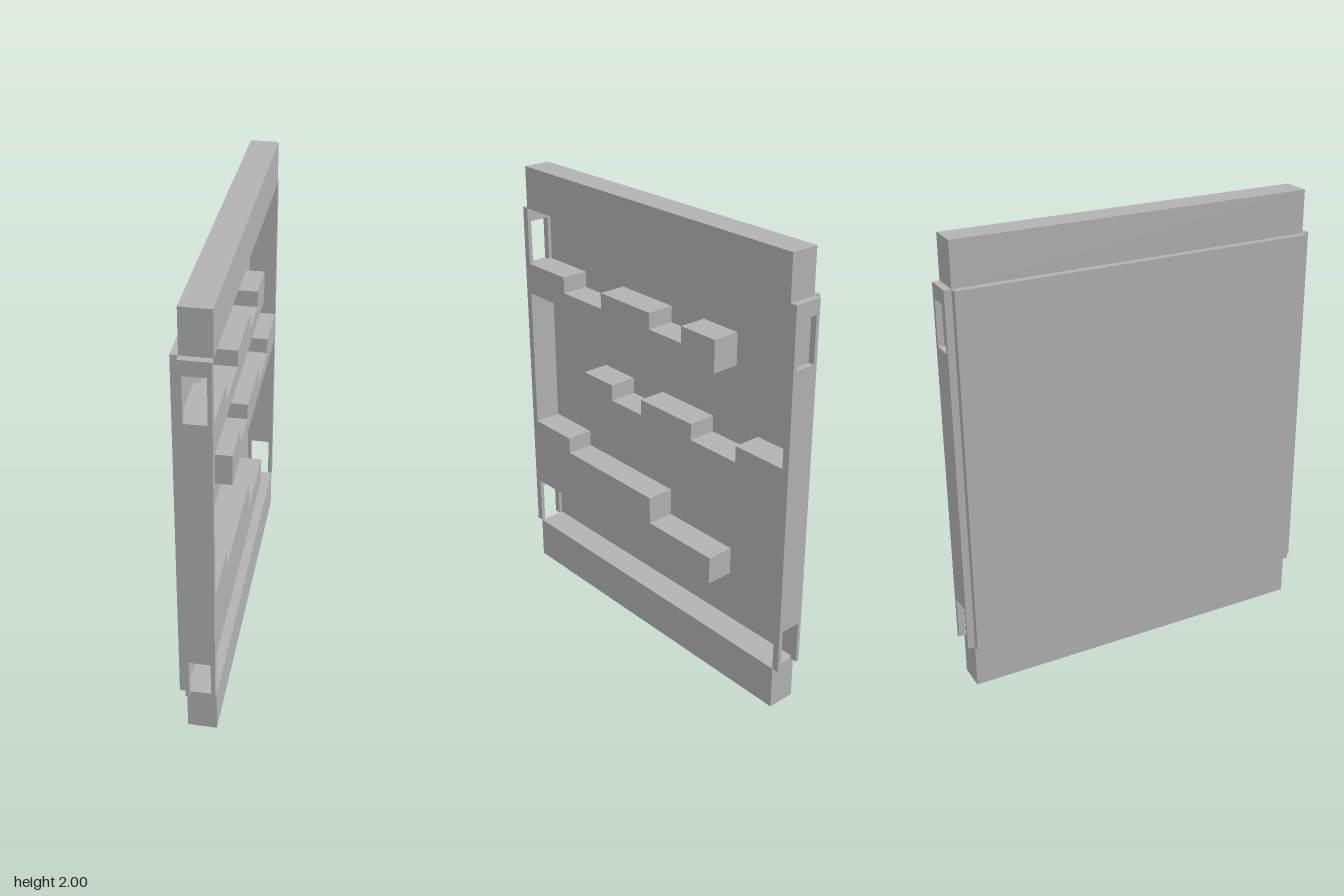
import * as THREE from 'three';

const X0 = -0.047, X1 = 0.078; // depth range of the frame
const W = 0.808;               // half width of the frame
const RIM = 0.031;             // thickness of the outer plates
const Y0 = 0.197, Y1 = 1.81;   // opening between bottom and top beams

export function createModel() {
  const group = new THREE.Group();
  const grey = new THREE.MeshStandardMaterial({ color: 0xb2b2b2 });
  grey.name = 'plainGrey';

  function add(name, geometry) {
    const mesh = new THREE.Mesh(geometry, grey);
    mesh.name = name;
    group.add(mesh);
  }

  function box(name, x0, x1, y0, y1, z0, z1) {
    const g = new THREE.BoxGeometry(x1 - x0, y1 - y0, z1 - z0);
    g.translate((x0 + x1) / 2, (y0 + y1) / 2, (z0 + z1) / 2);
    add(name, g);
  }

  const polygon = (points) => points.map(([a, b]) => new THREE.Vector2(a, b));

  // Beams and back panel
  box('bottomBeam', X0, X1, 0, Y0, -W, W);
  box('topBeam', X0, X1, Y1, 2, -W, W);
  box('backPanel', X0 - RIM, X0, Y0, Y1, -W, W);

  // Side plates: an open notch at the bottom and a window near the top
  const h0 = -0.031, h1 = 0.06;
  for (const side of [1, -1]) {
    const shape = new THREE.Shape(polygon([
      [X0, Y0], [h0, Y0], [h0, 0.39], [h1, 0.39], [h1, Y0], [X1, Y0], [X1, Y1], [X0, Y1],
    ]));
    shape.holes.push(new THREE.Path(polygon([[h0, 1.55], [h0, 1.747], [h1, 1.747], [h1, 1.55]])));
    const g = new THREE.ExtrudeGeometry(shape, { depth: RIM, bevelEnabled: false });
    g.translate(0, 0, side > 0 ? W : -W - RIM);
    add(side > 0 ? 'frontSidePlate' : 'rearSidePlate', g);
  }
  // The rear window is closed from the inside
  box('rearWindowCover', h0, h1, 1.55, 1.747, -W - 0.005, -W);

  // Shelves: steps are [end distance from the attached wall, top height]
  function shelf(name, bottom, steps, wall) {
    const points = [[0, bottom]];
    let start = 0;
    for (const [end, top] of steps) {
      points.push([start, top], [end, top]);
      start = end;
    }
    points.push([start, bottom]);
    const shape = new THREE.Shape(polygon(points.map(([d, y]) => [wall * (d - W), y])));
    const g = new THREE.ExtrudeGeometry(shape, { depth: X1 - X0, bevelEnabled: false });
    g.rotateY(Math.PI / 2);
    g.translate(X0, 0, 0);
    add(name, g);
  }

  const notched = (high, low) => [[0.255, high], [0.518, low], [0.836, high], [1.032, low], [1.228, high]];
  shelf('upperShelf', 1.407, notched(1.55, 1.477), 1);
  shelf('middleShelf', 0.995, notched(1.138, 1.065), -1);
  shelf('lowerShelf', 0.423, [[0.255, 0.752], [0.836, 0.677], [1.225, 0.55]], 1);

  return group;
}
